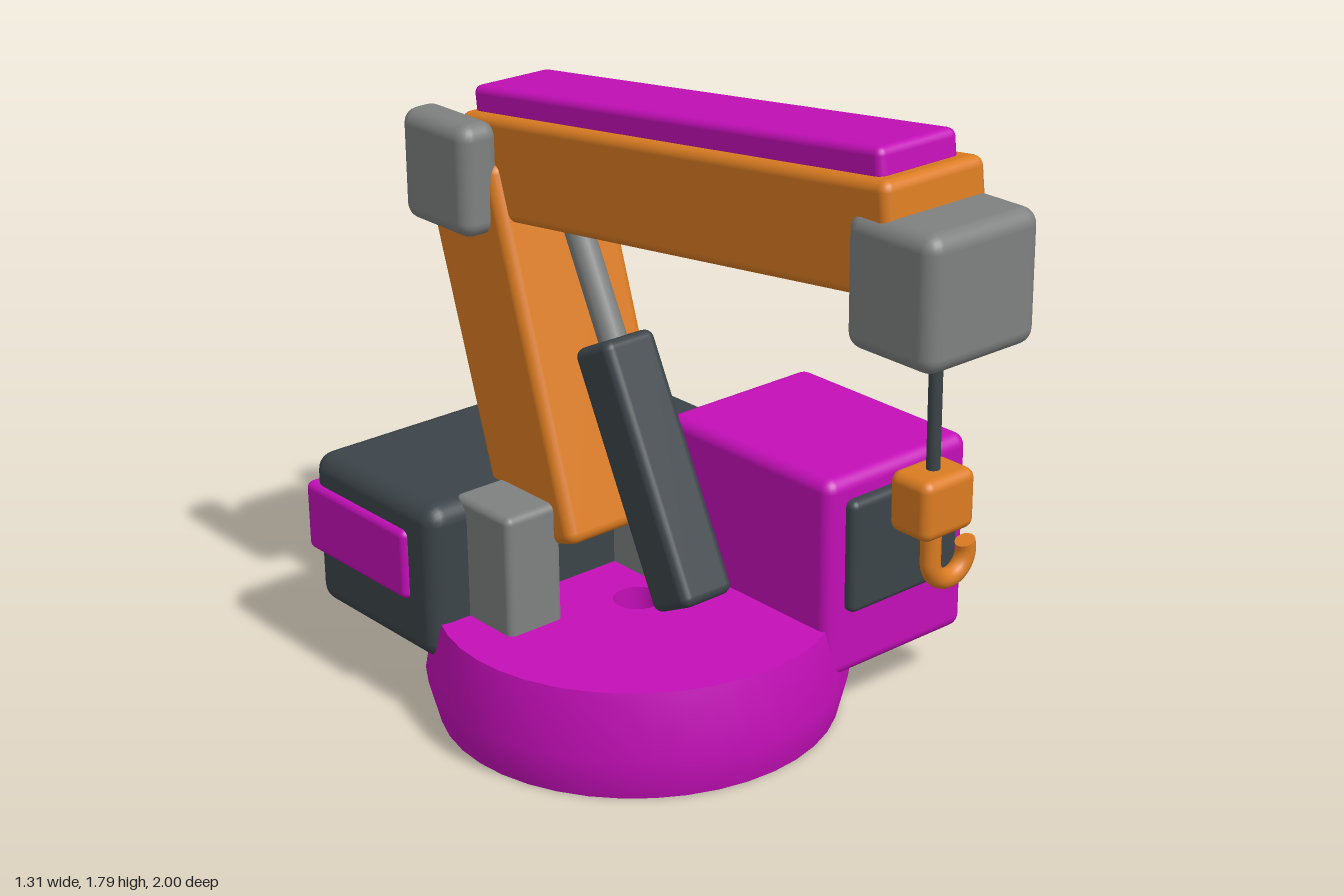
import * as THREE from 'three';
import { RoundedBoxGeometry } from 'three/addons/geometries/RoundedBoxGeometry.js';

const material = (name, color) => {
  const m = new THREE.MeshStandardMaterial({ color });
  m.name = name;
  return m;
};

export function createModel() {
  const magenta = material('magenta', 0xc40fb8);
  const orange = material('orange', 0xdb7c22);
  const grey = material('grey', 0x7e8180);
  const dark = material('charcoal', 0x3c4449);

  const crane = new THREE.Group();
  crane.name = 'crane';

  const add = (name, geometry, mat, x, y, z, tilt = 0, parent = crane) => {
    const mesh = new THREE.Mesh(geometry, mat);
    mesh.name = name;
    mesh.position.set(x, y, z);
    mesh.rotation.x = tilt;
    parent.add(mesh);
    return mesh;
  };
  const rounded = (w, h, d, r) => new RoundedBoxGeometry(w, h, d, 3, r);
  // Rounded box given by its extents along each axis
  const box = (name, mat, [x0, x1], [y0, y1], [z0, z1], r) =>
    add(name, rounded(x1 - x0, y1 - y0, z1 - z0, r), mat, (x0 + x1) / 2, (y0 + y1) / 2, (z0 + z1) / 2);

  // Turntable: bulging side, flat faces and a central bore, each with its own normals
  const turntable = new THREE.Group();
  turntable.name = 'turntable';
  turntable.position.set(-0.1, 0, -0.245);
  crane.add(turntable);
  const profiles = {
    turntableSide: [[0.525, 0], [0.555, 0.12], [0.52, 0.29]],
    turntableTop: [[0.52, 0.29], [0.065, 0.29]],
    turntableBore: [[0.065, 0.29], [0.065, 0]],
    turntableBottom: [[0.065, 0], [0.525, 0]],
  };
  for (const [name, points] of Object.entries(profiles)) {
    const curve = points.map(([r, y]) => new THREE.Vector2(r, y));
    add(name, new THREE.LatheGeometry(curve, 40), magenta, 0, 0, 0, 0, turntable);
  }

  // Cab with front and side windows
  box('cab', magenta, [0.12, 0.62], [0.15, 0.705], [-0.385, 0.235], 0.035);
  box('frontWindow', dark, [0.18, 0.56], [0.335, 0.645], [0.205, 0.265], 0.02);
  box('sideWindow', dark, [0.59, 0.65], [0.37, 0.635], [-0.27, 0.135], 0.02);

  // Counterweight with its band
  box('counterweight', dark, [-0.595, 0.395], [0.18, 0.61], [-0.985, -0.455], 0.05);
  box('counterweightBand', magenta, [-0.61, 0.41], [0.33, 0.525], [-1, -0.56], 0.02);

  // Paired blocks either side of the boom: foot brackets and elbow joints
  const boomX = -0.16;
  for (const side of [-1, 1]) {
    add('boomBracket', rounded(0.17, 0.42, 0.225, 0.02), grey, boomX + side * 0.24, 0.405, -0.397);
    add('elbowJoint', rounded(0.115, 0.29, 0.27, 0.04), grey, boomX + side * 0.197, 1.415, -0.64);
  }

  // Lower boom leaning back
  add('lowerBoom', rounded(0.36, 0.98, 0.3, 0.03), orange, boomX, 0.946, -0.5, -0.304);

  // Upper boom rising forward, with a cover plate
  const upper = new THREE.Group();
  upper.name = 'upperBoomAssembly';
  upper.position.set(boomX, 1.511, 0.106);
  upper.rotation.x = -0.12;
  crane.add(upper);
  add('upperBoom', rounded(0.31, 0.266, 1.51, 0.025), orange, 0, 0, 0, 0, upper);
  add('boomCover', rounded(0.24, 0.08, 1.44, 0.02), magenta, -0.004, 0.156, -0.008, 0, upper);

  // Hydraulic ram
  const ram = new THREE.Group();
  ram.name = 'hydraulicRam';
  ram.position.set(boomX, 0.715, -0.105);
  ram.rotation.x = -0.457;
  crane.add(ram);
  add('ramBody', rounded(0.16, 0.69, 0.15, 0.025), dark, 0, 0, 0, 0, ram);
  add('ramRod', new THREE.CylinderGeometry(0.037, 0.037, 0.5, 20), grey, 0, 0.52, 0, 0, ram);

  // Boom head, cable and hook block
  const hookX = -0.163, hookZ = 0.858;
  box('boomHead', grey, [-0.33, 0.008], [1.335, 1.65], [0.73, 1], 0.04);
  add('cable', new THREE.CylinderGeometry(0.016, 0.016, 0.4, 16), dark, hookX, 1.2, hookZ);
  add('hookBlock', rounded(0.16, 0.147, 0.124, 0.025), orange, hookX, 0.968, hookZ);

  // Hook: straight shank running into an arc, closed by a flat tip
  const tube = 0.024, bend = 0.057, arcY = 0.812;
  add('hookShank', new THREE.CylinderGeometry(tube, tube, 0.11, 16), orange, hookX, arcY + 0.055, hookZ);
  const sweep = Math.PI + 0.35;
  const arc = add('hookArc', new THREE.TorusGeometry(bend, tube, 16, 28, sweep), orange, hookX + bend, arcY, hookZ);
  arc.rotation.z = Math.PI;
  const tip = add('hookTip', new THREE.CircleGeometry(tube, 16), orange,
    hookX + bend + bend * Math.cos(0.35), arcY + bend * Math.sin(0.35), hookZ);
  tip.lookAt(tip.position.x - Math.sin(0.35), tip.position.y + Math.cos(0.35), hookZ);

  return crane;
}
